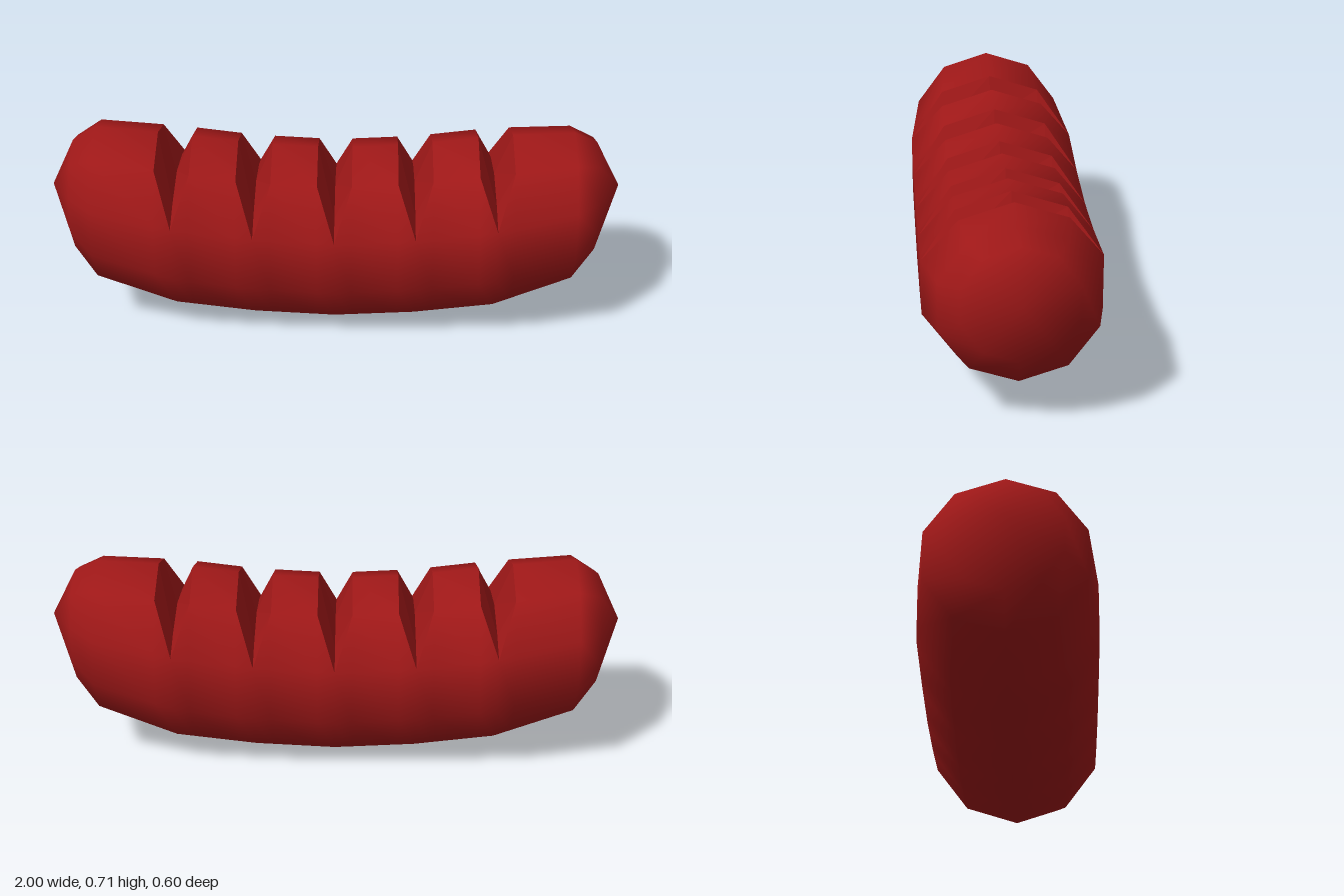
import * as THREE from 'three';

const SIDES = 10;
const NOTCH_HALF = 0.06;
const NOTCHES = [-0.56, -0.28, 0, 0.28, 0.56];

// Spine of the sausage: [x, centre height, radius]
const SPINE = [
  [-1, 0.49, 0], [-0.92, 0.462, 0.2], [-0.84, 0.435, 0.28],
  [-0.56, 0.372, 0.317], [-0.28, 0.337, 0.317], [0, 0.322, 0.317],
  [0.28, 0.337, 0.317], [0.56, 0.372, 0.317],
  [0.835, 0.432, 0.272], [0.915, 0.467, 0.2], [1, 0.5, 0],
];

function spineAt(x) {
  const i = Math.max(1, SPINE.findIndex((s) => s[0] >= x));
  const a = SPINE[i - 1], b = SPINE[i];
  const t = (x - a[0]) / (b[0] - a[0]);
  return { x, cy: a[1] + (b[1] - a[1]) * t, r: a[2] + (b[2] - a[2]) * t };
}

export function createModel() {
  // Rings along the spine, with a lip ring on each side of every notch
  const rings = [];
  for (const [x] of SPINE) {
    if (NOTCHES.includes(x)) {
      rings.push({ ...spineAt(x - NOTCH_HALF), lip: true });
      rings.push({ ...spineAt(x), floor: true });
      rings.push({ ...spineAt(x + NOTCH_HALF), lip: true });
    } else rings.push(spineAt(x));
  }

  // Ten-sided cross-sections; the top three corners sink at a notch floor
  const positions = [];
  for (const ring of rings) {
    for (let k = 0; k < SIDES; k++) {
      const angle = (k * Math.PI * 2) / SIDES;
      let dy = ring.r * Math.cos(angle);
      if (ring.floor && k === 0) dy = 0.17;
      if (ring.floor && (k === 1 || k === SIDES - 1)) dy = 0.138;
      positions.push(ring.x, ring.cy + dy, ring.r * Math.sin(angle));
    }
  }
  // The end rings collapse to one shared tip vertex
  const id = (i, k) => i * SIDES + (rings[i].r < 1e-6 ? 0 : k % SIDES);

  const skin = [], walls = [];
  const add = (list, p, q, r) => {
    if (p !== q && q !== r && p !== r) list.push(p, q, r);
  };
  for (let i = 0; i < rings.length - 1; i++) {
    const lipLeft = rings[i + 1].floor, lipRight = rings[i].floor;
    for (let k = 0; k < SIDES; k++) {
      const a = id(i, k), b = id(i + 1, k), c = id(i + 1, k + 1), d = id(i, k + 1);
      let first = skin, second = skin, diagonalAC = true;
      if (lipLeft || lipRight) {
        if (k === 0 || k === SIDES - 1) first = second = walls;
        // Notch tapers to a point on the flank
        if (k === 1 || k === SIDES - 2) {
          diagonalAC = (k === 1) === !!lipLeft;
          if (lipLeft) second = walls;
          else first = walls;
        }
      }
      if (diagonalAC) {
        add(first, a, d, c);
        add(second, a, c, b);
      } else {
        add(first, a, d, b);
        add(second, d, c, b);
      }
    }
  }

  const makeGeometry = (index) => {
    const g = new THREE.BufferGeometry();
    g.setAttribute('position', new THREE.Float32BufferAttribute(positions, 3));
    g.setIndex(index);
    return g;
  };
  const material = new THREE.MeshStandardMaterial({ color: 0xa01818 });

  // Smooth outer skin
  const skinGeometry = makeGeometry(skin);
  skinGeometry.computeVertexNormals();
  const body = new THREE.Mesh(skinGeometry, material);
  body.name = 'sausageBody';

  // Sharp-edged faces inside the notches
  const wallGeometry = makeGeometry(walls).toNonIndexed();
  wallGeometry.computeVertexNormals();
  const cuts = new THREE.Mesh(wallGeometry, material);
  cuts.name = 'notchWalls';

  const group = new THREE.Group();
  group.name = 'sausage';
  group.add(body, cuts);
  return group;
}
